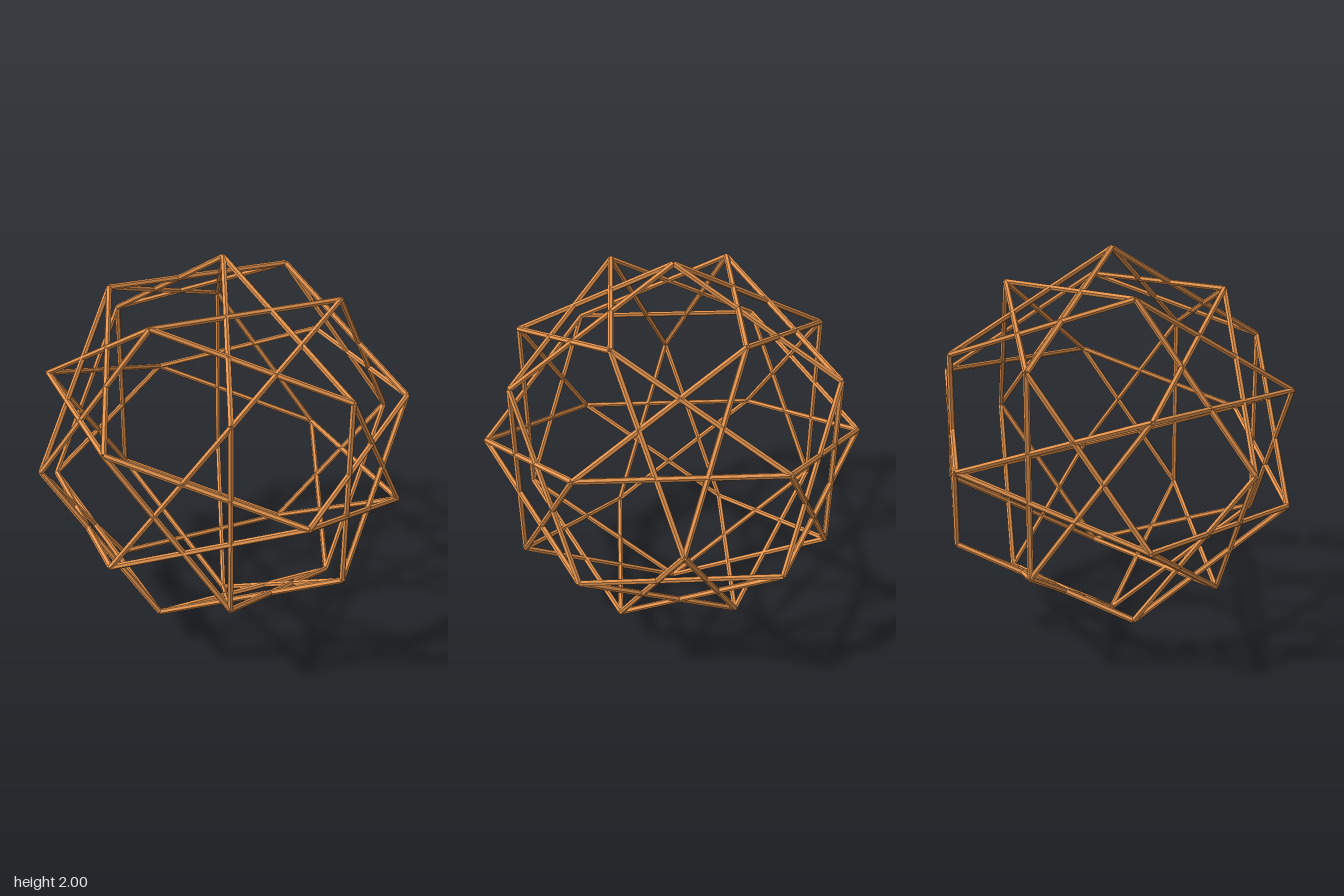
import * as THREE from 'three';

const RADIUS = 0.987; // corner distance from the centre
const BAR = 0.015; // bar radius

// 30 corners: the six axis points plus cyclic permutations of one signed triple
function makeCorners() {
  const phi = (1 + Math.sqrt(5)) / 2;
  const base = [0.5, phi / 2, 1 / (2 * phi)];
  const corners = [];
  for (let k = 0; k < 3; k++) {
    for (const s of [1, -1]) {
      const axis = [0, 0, 0];
      axis[k] = s;
      corners.push(new THREE.Vector3(...axis));
      for (const t of [1, -1]) {
        for (const u of [1, -1]) {
          const v = [s * base[0], t * base[1], u * base[2]];
          corners.push(new THREE.Vector3(v[k], v[(k + 1) % 3], v[(k + 2) % 3]));
        }
      }
    }
  }
  return corners;
}

export function createModel() {
  const model = new THREE.Group();
  model.name = 'starPolyhedronFrame';
  const material = new THREE.MeshStandardMaterial({ color: 0xe8964f, flatShading: true });
  const corners = makeCorners();

  // Six-sided bar; every edge is as long as the corner radius
  const geometry = new THREE.CylinderGeometry(BAR, BAR, RADIUS, 6);
  corners.forEach((a, i) => {
    corners.slice(i + 1).forEach((b) => {
      // Joined corners lie 60 degrees apart
      if (Math.abs(a.dot(b) - 0.5) > 0.001) return;
      const bar = new THREE.Mesh(geometry, material);
      bar.name = 'edgeBar';
      bar.position.copy(a).add(b).multiplyScalar(RADIUS / 2);
      bar.position.y += 1;
      // Turn the bar so that one of its ridges faces outward
      const along = b.clone().sub(a).normalize();
      const outward = a.clone().add(b).normalize();
      const side = new THREE.Vector3().crossVectors(along, outward);
      bar.quaternion.setFromRotationMatrix(new THREE.Matrix4().makeBasis(side, along, outward));
      model.add(bar);
    });
  });
  return model;
}
